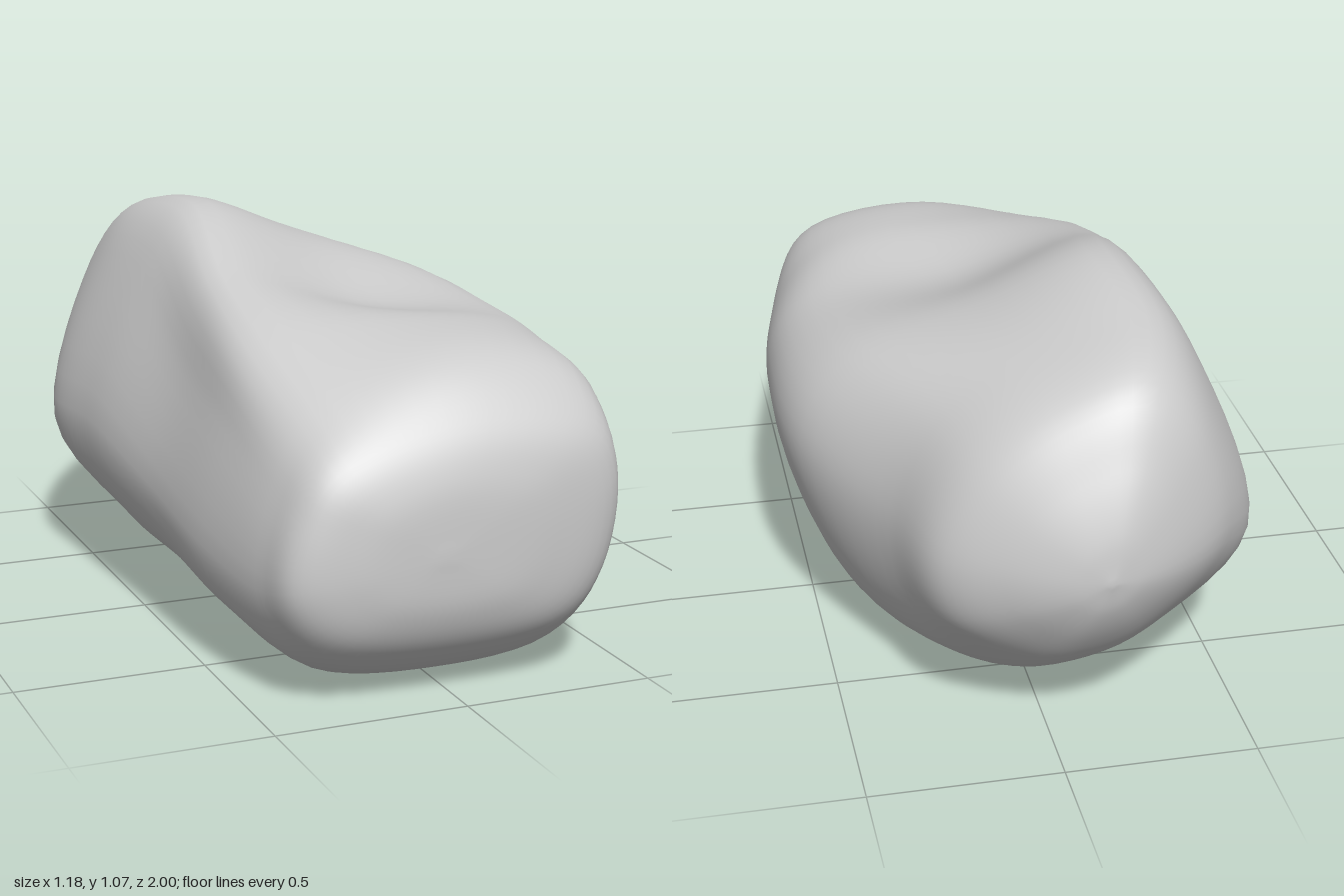
import * as THREE from 'three';
import { mergeVertices } from 'three/addons/utils/BufferGeometryUtils.js';

// Cross-sections from front to back: z, then [x, y] counter-clockwise from the underside
const sections = [
  { z: 0.8, p: [[0, .03], [.3, .07], [.44, .25], [.475, .56], [.37, .76], [.03, .81], [-.31, .7], [-.43, .51], [-.46, .25], [-.32, .07]] },
  { z: 0.52, p: [[0, .055], [.33, .1], [.49, .3], [.535, .59], [.41, .79], [.12, .86], [-.34, .83], [-.455, .62], [-.51, .28], [-.36, .1]] },
  { z: 0.18, p: [[0, .05], [.33, .11], [.51, .32], [.58, .61], [.45, .8], [.06, .84], [-.33, .94], [-.455, .7], [-.535, .34], [-.36, .11]] },
  { z: -0.22, p: [[.05, 0], [.32, .05], [.48, .26], [.56, .6], [.42, .83], [.08, .945], [-.27, 1.065], [-.45, .85], [-.58, .41], [-.36, .1]] },
  { z: -0.57, p: [[0, .05], [.22, .12], [.34, .3], [.365, .56], [.26, .81], [.02, .96], [-.29, 1.03], [-.455, .84], [-.585, .41], [-.34, .16]] },
  { z: -0.81, p: [[-.05, .2], [.1, .24], [.25, .36], [.28, .54], [.18, .75], [0, .89], [-.23, .955], [-.385, .81], [-.45, .5], [-.25, .27]] },
];

// Shrinks a section towards a centre to close an end
const shrink = (s, z, cx, cy, sx, sy) =>
  ({ z, p: s.p.map(([x, y]) => [cx + (x - cx) * sx, cy + (y - cy) * sy]) });

export function createModel() {
  const first = sections[0], last = sections[5];
  const rings = [
    shrink(first, 1, -0.06, 0.38, 0, 0),
    shrink(first, 0.985, -0.06, 0.38, 0.55, 0.42),
    shrink(first, 0.93, -0.03, 0.38, 0.91, 0.72),
    ...sections,
    shrink(last, -0.92, -0.11, 0.53, 0.62, 0.62),
    shrink(last, -0.98, -0.11, 0.53, 0.27, 0.28),
    shrink(last, -1, -0.11, 0.53, 0, 0),
  ];

  // One smooth curve along the stone per section point, then one smooth loop around it
  const rails = first.p.map((_, k) =>
    new THREE.CatmullRomCurve3(rings.map(r => new THREE.Vector3(r.p[k][0], r.p[k][1], r.z))));
  const rows = 72, cols = 60, positions = [], index = [];
  for (let i = 0; i <= rows; i++) {
    const points = rails.map(c => c.getPoint(i / rows));
    const loop = new THREE.CatmullRomCurve3(points, true, 'catmullrom', 0.5);
    for (let j = 0; j < cols; j++) {
      const v = i === 0 || i === rows ? points[0] : loop.getPoint(j / cols);
      positions.push(v.x, v.y, v.z);
      if (i === rows) continue;
      const a = i * cols + j, b = i * cols + (j + 1) % cols;
      if (i > 0) index.push(a, a + cols, b);
      if (i < rows - 1) index.push(b, a + cols, b + cols);
    }
  }
  let geometry = new THREE.BufferGeometry();
  geometry.setAttribute('position', new THREE.Float32BufferAttribute(positions, 3));
  geometry.setIndex(index);
  geometry = mergeVertices(geometry, 1e-5);
  geometry.computeBoundingBox();
  geometry.translate(0, -geometry.boundingBox.min.y, 0);
  geometry.computeVertexNormals();

  const boulder = new THREE.Mesh(geometry, new THREE.MeshStandardMaterial({ color: 0xcccccc }));
  boulder.name = 'boulder';
  const group = new THREE.Group();
  group.name = 'rock';
  group.add(boulder);
  return group;
}
